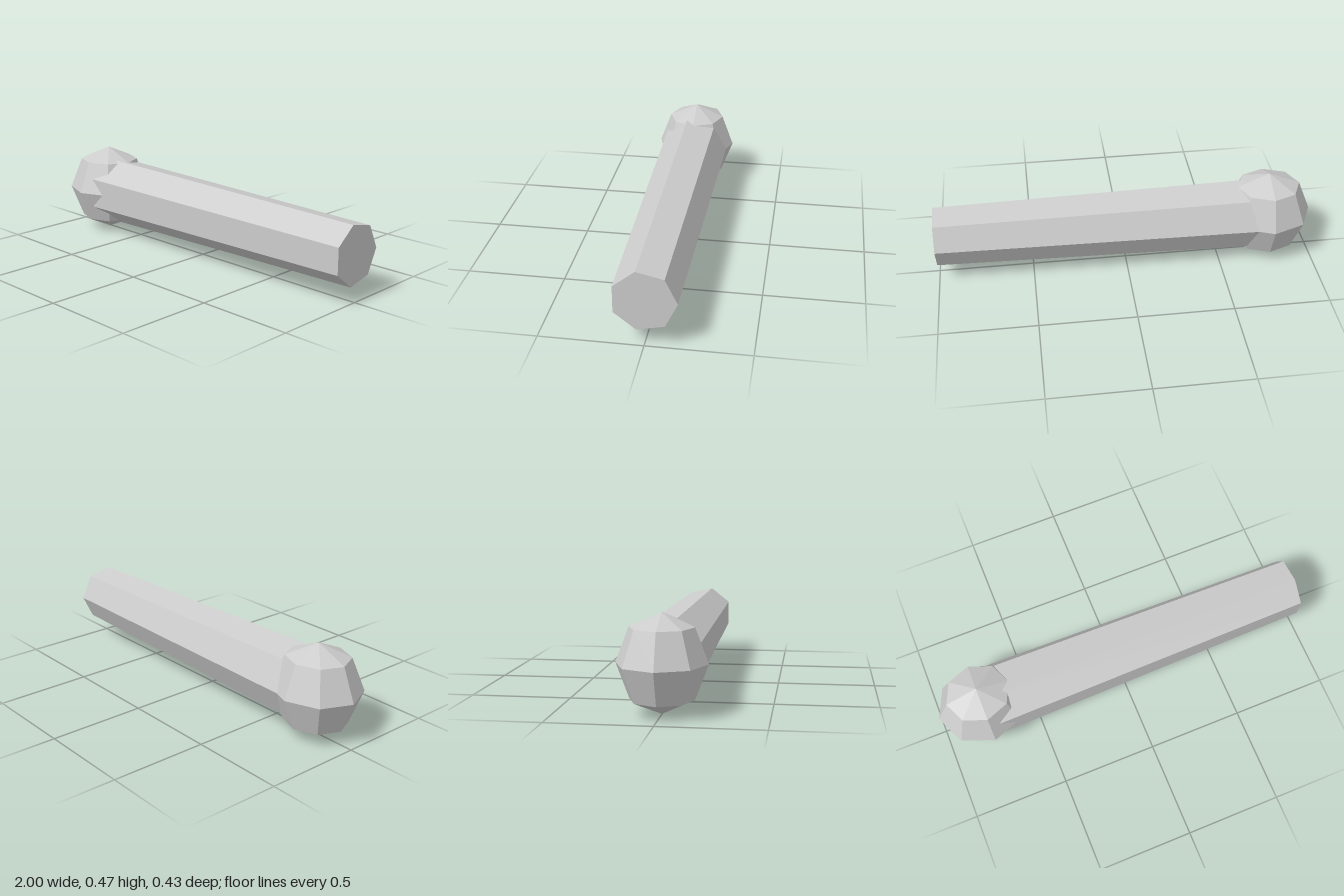
import * as THREE from 'three';

export function createModel() {
  const group = new THREE.Group();
  const grey = new THREE.MeshStandardMaterial({ color: 0xcccccc, flatShading: true });
  grey.name = 'light grey';

  const centreX = -0.765;
  const centreY = 0.237;

  // Faceted ball at the end, slightly narrower in depth
  const knob = new THREE.Mesh(new THREE.SphereGeometry(1, 8, 4), grey);
  knob.name = 'knob';
  knob.scale.set(0.235, 0.237, 0.216);
  knob.position.set(centreX, centreY, 0);
  group.add(knob);

  // Seven-sided tapering shaft starting inside the ball, one edge facing the back
  const length = 1 - centreX;
  const shaftGeometry = new THREE.CylinderGeometry(0.156, 0.187, length, 7, 1, false, Math.PI);
  shaftGeometry.rotateZ(-Math.PI / 2);
  const shaft = new THREE.Mesh(shaftGeometry, grey);
  shaft.name = 'shaft';
  shaft.position.set(centreX + length / 2, centreY, 0);
  group.add(shaft);

  return group;
}
